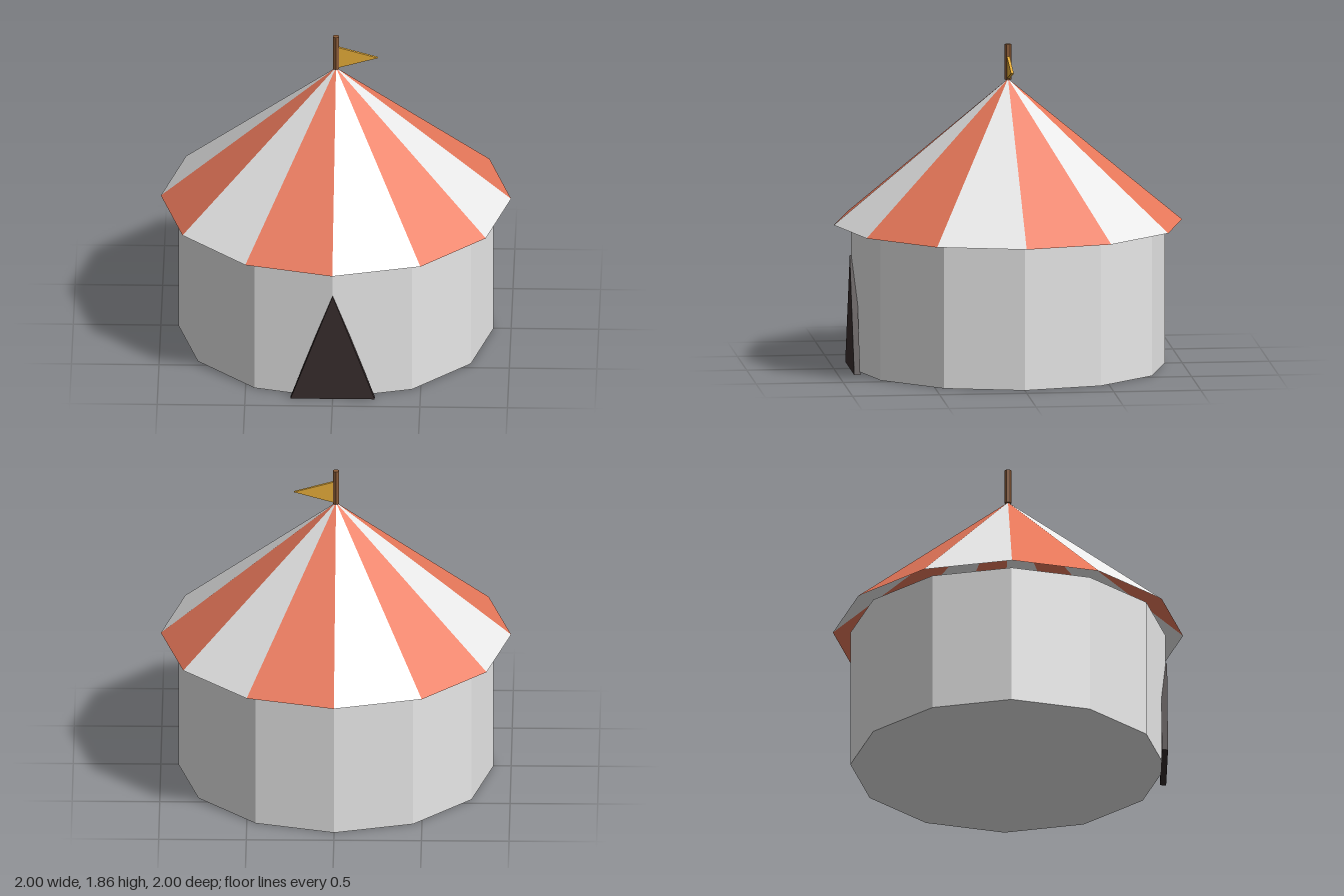
import * as THREE from 'three';

const SIDES = 12;
const EAVES = 0.83, APEX = 1.66;

const mat = (name, color, extra = {}) => {
  const m = new THREE.MeshStandardMaterial({ color, flatShading: true, ...extra });
  m.name = name;
  return m;
};

export function createModel() {
  const canvas = mat('white canvas', 0xf0f0f0, { side: THREE.DoubleSide });
  const stripe = mat('coral stripe', 0xe8785a, { side: THREE.DoubleSide });
  const dark = mat('dark doorway', 0x382d2d);
  const wood = mat('brown wood', 0x8b5c38);
  const gold = mat('golden flag', 0xf5b83e);

  const tent = new THREE.Group();
  tent.name = 'tent';
  const add = (name, geometry, material, y = 0, parent = tent) => {
    const mesh = new THREE.Mesh(geometry, material);
    mesh.name = name;
    mesh.position.y = y;
    parent.add(mesh);
    return mesh;
  };

  // Flat-sided triangular prism, centred on z = 0
  const prism = (points, depth) => {
    const shape = new THREE.Shape(points.map(([x, y]) => new THREE.Vector2(x, y)));
    return new THREE.ExtrudeGeometry(shape, { depth, bevelEnabled: false }).translate(0, 0, -depth / 2);
  };

  // Twelve-sided wall
  add('wall', new THREE.CylinderGeometry(0.9, 0.9, EAVES, SIDES), canvas, EAVES / 2);

  // Hollow roof of alternating panels, starting with white at the front
  const roof = new THREE.Group();
  roof.name = 'roof';
  tent.add(roof);
  const step = (Math.PI * 2) / SIDES;
  for (let i = 0; i < SIDES; i++) {
    const panel = new THREE.ConeGeometry(1, APEX - EAVES, 1, 1, true, i * step, step);
    add('roofPanel', panel, i % 2 ? stripe : canvas, (APEX + EAVES) / 2, roof);
  }

  // Doorway standing just proud of the front corner
  const door = add('doorway', prism([[-0.24, 0], [0.24, 0], [0, 0.655]], 0.035), dark);
  door.position.z = 0.891;

  // Pole and pennant on the peak
  add('pole', new THREE.CylinderGeometry(0.02, 0.02, 0.205, 6), wood, 1.7575);
  add('flag', prism([[0.012, 1.662], [0.24, 1.727], [0.012, 1.792]], 0.016), gold);

  return tent;
}
